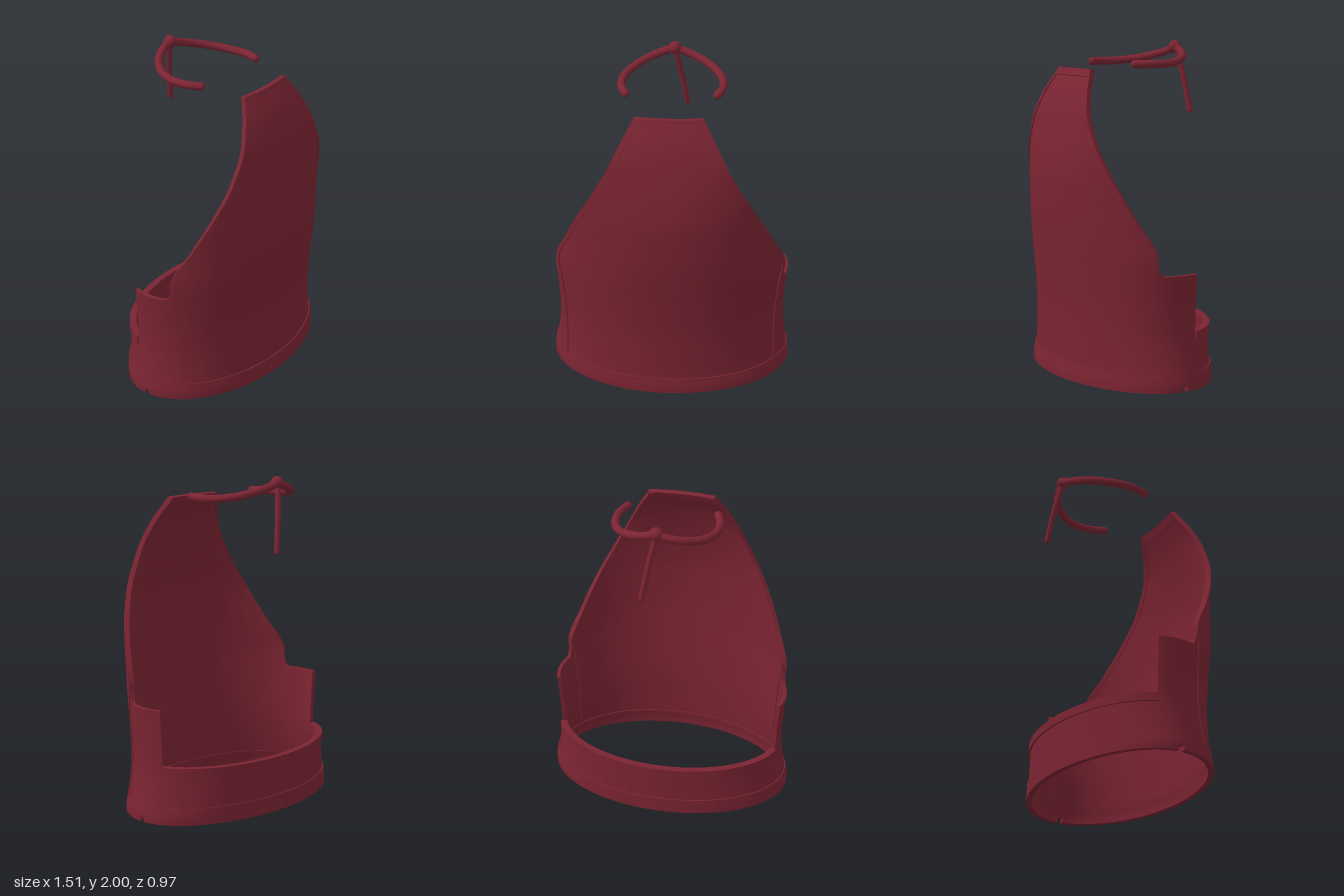
import * as THREE from 'three';
import { mergeGeometries } from 'three/addons/utils/BufferGeometryUtils.js';

const lerp = THREE.MathUtils.lerp;
const CENTRE_Z = -0.03, BACK_DEPTH = 0.44, BACK_EDGE = 1.81;

// Garment profile: height, half width of front panel, z of its edge, z of its middle
const PROFILE = [
  [0, 0.668, 0.18, 0.445], [0.05, 0.673, 0.172, 0.443], [0.1, 0.667, 0.165, 0.435],
  [0.35, 0.659, 0.135, 0.435], [0.68, 0.68, 0.135, 0.455], [0.78, 0.696, 0.12, 0.465],
  [1.0, 0.625, 0.225, 0.482], [1.2, 0.54, 0.315, 0.485], [1.4, 0.435, 0.375, 0.462],
  [1.55, 0.355, 0.385, 0.425], [1.7, 0.28, 0.35, 0.375], [1.84, 0.2, 0.285, 0.302],
];

// Smooth interpolation of one profile column without overshoot
function column(y, c) {
  const P = PROFILE, n = P.length;
  y = THREE.MathUtils.clamp(y, 0, P[n - 1][0]);
  let i = 0;
  while (i < n - 2 && y > P[i + 1][0]) i++;
  const d = (k) => (P[k + 1][c] - P[k][c]) / (P[k + 1][0] - P[k][0]);
  const slope = (k) => {
    if (k === 0) return d(0);
    if (k === n - 1) return d(n - 2);
    const a = d(k - 1), b = d(k);
    return a * b <= 0 ? 0 : (2 * a * b) / (a + b);
  };
  const h = P[i + 1][0] - P[i][0], t = (y - P[i][0]) / h, t2 = t * t, t3 = t2 * t;
  return (2 * t3 - 3 * t2 + 1) * P[i][c] + (t3 - 2 * t2 + t) * h * slope(i)
    + (3 * t2 - 2 * t3) * P[i + 1][c] + (t3 - t2) * h * slope(i + 1);
}

// Angle, measured from the front, where the front panel ends at height y
const seamAngle = (y) => Math.acos((column(y, 2) - CENTRE_Z) / (column(y, 3) - CENTRE_Z));

// Point on the body surface at an angle and height
function body(angle, y) {
  const a = column(y, 1) / Math.sin(seamAngle(y)), c = Math.cos(angle);
  const depth = c > 0 ? column(y, 3) - CENTRE_Z : BACK_DEPTH;
  return new THREE.Vector3(a * Math.sin(angle), y, CENTRE_Z + depth * c);
}

function bodyNormal(angle, y) {
  const e = 0.01;
  const du = body(angle + e, y).sub(body(angle - e, y));
  const dv = body(angle, y + e).sub(body(angle, y - e));
  return du.cross(dv).normalize();
}

// Smooth grid over fn(s, t)
function sheet(fn, ns, nt) {
  const pos = [], index = [];
  for (let j = 0; j <= nt; j++)
    for (let i = 0; i <= ns; i++) pos.push(...fn(i / ns, j / nt).toArray());
  for (let j = 0; j < nt; j++)
    for (let i = 0; i < ns; i++) {
      const a = j * (ns + 1) + i, b = a + 1, c = a + ns + 1, d = c + 1;
      index.push(a, b, d, a, d, c);
    }
  const g = new THREE.BufferGeometry();
  g.setAttribute('position', new THREE.Float32BufferAttribute(pos, 3));
  g.setIndex(index);
  g.computeVertexNormals();
  return g;
}

// Cloth with thickness; map(u, v) gives [angle, height]
function cloth(map, nu, nv, outer = 0, inner = -0.018) {
  const p = (u, v, w) => {
    const [angle, y] = map(u, v);
    return body(angle, y).addScaledVector(bodyNormal(angle, y), lerp(inner, outer, w));
  };
  return mergeGeometries([
    sheet((s, t) => p(s, t, 1), nu, nv),
    sheet((s, t) => p(1 - s, t, 0), nu, nv),
    sheet((s, t) => p(1, s, t), nv, 1),
    sheet((s, t) => p(0, 1 - s, t), nv, 1),
    sheet((s, t) => p(t, 1, s), 1, nu),
    sheet((s, t) => p(t, 0, 1 - s), 1, nu),
  ]);
}

export function createModel() {
  const model = new THREE.Group();
  model.name = 'halterTop';
  const fabric = new THREE.MeshStandardMaterial({ color: 0x7b2432 });
  fabric.name = 'burgundy fabric';
  const add = (name, geometry, parent = model) => {
    const mesh = new THREE.Mesh(geometry, fabric);
    mesh.name = name;
    parent.add(mesh);
    return mesh;
  };

  // Front panel and its top binding
  add('frontPanel', cloth((u, v) => {
    const y = lerp(0.08, 1.835, v);
    return [lerp(-1, 1, u) * seamAngle(y), y];
  }, 48, 56));
  add('topBinding', cloth((u, v) => {
    const y = lerp(1.8, 1.845, v);
    return [lerp(-1, 1, u) * seamAngle(y), y];
  }, 20, 2, 0.008, -0.026));

  for (const side of [-1, 1]) {
    const label = side > 0 ? 'left' : 'right';
    // Reverses u on the right so the surface still faces outward
    const mirror = (fn) => (u, v) => {
      const [angle, y] = fn(side > 0 ? u : 1 - u, v);
      return [side * angle, y];
    };

    // Binding along the armhole, running down as the side seam
    add(label + 'ArmholeBinding', cloth(mirror((u, v) => {
      const y = lerp(0.09, 1.84, v), edge = seamAngle(y);
      const strip = 0.036 / Math.hypot(column(y, 1), column(y, 3) - column(y, 2));
      return [edge * (1 - strip * (1 - u)), y];
    }), 2, 56, 0.007, -0.025));

    // Side panel, rising where it meets the front
    add(label + 'SidePanel', cloth(mirror((u, v) => {
      const top = 0.68 + 0.09 * Math.max(0, 1 - u / 0.2) ** 2;
      const y = lerp(0.08, top, v);
      return [lerp(seamAngle(y), BACK_EDGE, u), y];
    }), 20, 20, 0.002, -0.02));
  }

  // Back band with thick upper binding
  const back = (y0, y1) => (u, v) => [lerp(BACK_EDGE, 2 * Math.PI - BACK_EDGE, u), lerp(y0, y1, v)];
  add('backBand', cloth(back(0.08, 0.32), 48, 8));
  add('backBinding', cloth(back(0.292, 0.342), 48, 3, 0.011, -0.028));

  // Hem around the bottom, with a small notch at each side
  const hem = (a0, a1, y0, y1) =>
    cloth((u, v) => [lerp(a0, a1, u), lerp(y0, y1, v)], 64, 4, 0.008, -0.024);
  const gap = 0.035, half = Math.PI / 2;
  add('hem', hem(-Math.PI, Math.PI, 0.035, 0.105));
  add('frontHemEdge', hem(-half + gap, half - gap, 0.005, 0.035));
  add('backHemEdge', hem(half + gap, 3 * half - gap, 0.005, 0.035));

  // Neck strap: open loop, knot and hanging tail
  const strap = new THREE.Group();
  strap.name = 'neckStrap';
  model.add(strap);
  const cord = (name, points, radius) => {
    const curve = new THREE.CatmullRomCurve3(points);
    add(name, new THREE.TubeGeometry(curve, 64, radius, 12), strap);
    for (const end of [points[0], points[points.length - 1]])
      add(name + 'End', new THREE.SphereGeometry(radius, 12, 8), strap).position.copy(end);
  };
  const loop = [];
  for (let i = 0; i <= 24; i++) {
    const a = lerp(-2.05, 2.05, i / 24), x = 0.3 * Math.sin(a);
    const drop = Math.abs(a) < half ? Math.abs(x) / 0.3 : 1;
    const y = 1.87 + 0.088 * (1 - drop);
    loop.push(new THREE.Vector3(x, y, -0.108 - 0.3 * Math.cos(a)));
  }
  cord('strapLoop', loop, 0.024);
  add('strapKnot', new THREE.SphereGeometry(0.039, 20, 14), strap).position.set(0, 1.961, -0.405);
  cord('strapTail', [
    new THREE.Vector3(0, 1.96, -0.41),
    new THREE.Vector3(0.04, 1.76, -0.447),
    new THREE.Vector3(0.075, 1.57, -0.47),
  ], 0.017);

  return model;
}
